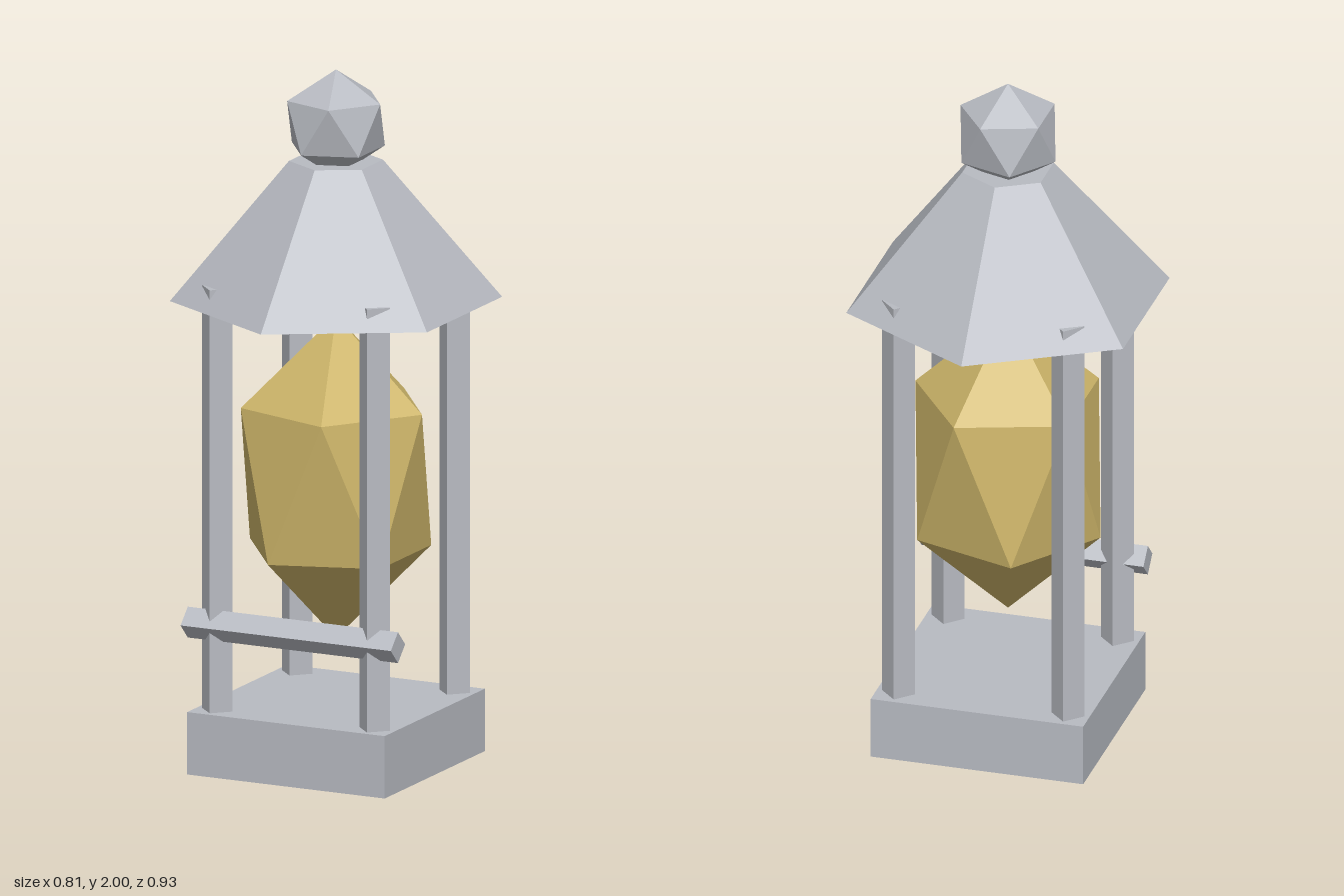
import * as THREE from 'three';

export function createModel() {
  const group = new THREE.Group();
  const stone = new THREE.MeshStandardMaterial({ color: 0xb8bbc2, flatShading: true });
  stone.name = 'grey stone';
  const gold = new THREE.MeshStandardMaterial({ color: 0xcdb569, flatShading: true });
  gold.name = 'gold crystal';

  function add(name, geometry, material, x, y, z) {
    const mesh = new THREE.Mesh(geometry, material);
    mesh.name = name;
    mesh.position.set(x, y, z);
    group.add(mesh);
    return mesh;
  }

  // Icosahedron standing on one corner, with an upper-ring corner towards +x
  function uprightIcosahedron(radius, stretch) {
    const golden = (1 + Math.sqrt(5)) / 2;
    return new THREE.IcosahedronGeometry(radius, 0)
      .rotateZ(-Math.atan(1 / golden))
      .scale(1, stretch, 1);
  }

  // Square plinth
  add('base', new THREE.BoxGeometry(0.62, 0.18, 0.62), stone, 0, 0.09, 0);

  // Four posts set diagonally, their tips just piercing the roof
  const postGeometry = new THREE.CylinderGeometry(0.048, 0.048, 1.22, 4);
  for (const [side, sx] of [['left', 1], ['right', -1]]) {
    for (const [end, sz] of [['Front', 1], ['Back', -1]]) {
      add(`${side}${end}Post`, postGeometry, stone, sx * 0.247, 0.79, sz * 0.247);
    }
  }

  // Diagonal crossbar along the front posts
  const barGeometry = new THREE.CylinderGeometry(0.0445, 0.0445, 0.66, 4).rotateZ(Math.PI / 2);
  add('crossbar', barGeometry, stone, 0, 0.428, 0.267);

  // Six-sided roof with a flat top, corners towards front and back
  add('roof', new THREE.CylinderGeometry(0.132, 0.466, 0.4, 6), stone, 0, 1.538, 0);

  // Ball on the roof and floating crystal
  add('finial', uprightIcosahedron(0.155, 1), stone, 0, 1.845, 0);
  add('crystal', uprightIcosahedron(0.302, 1.54), gold, 0, 0.826, 0);

  return group;
}
